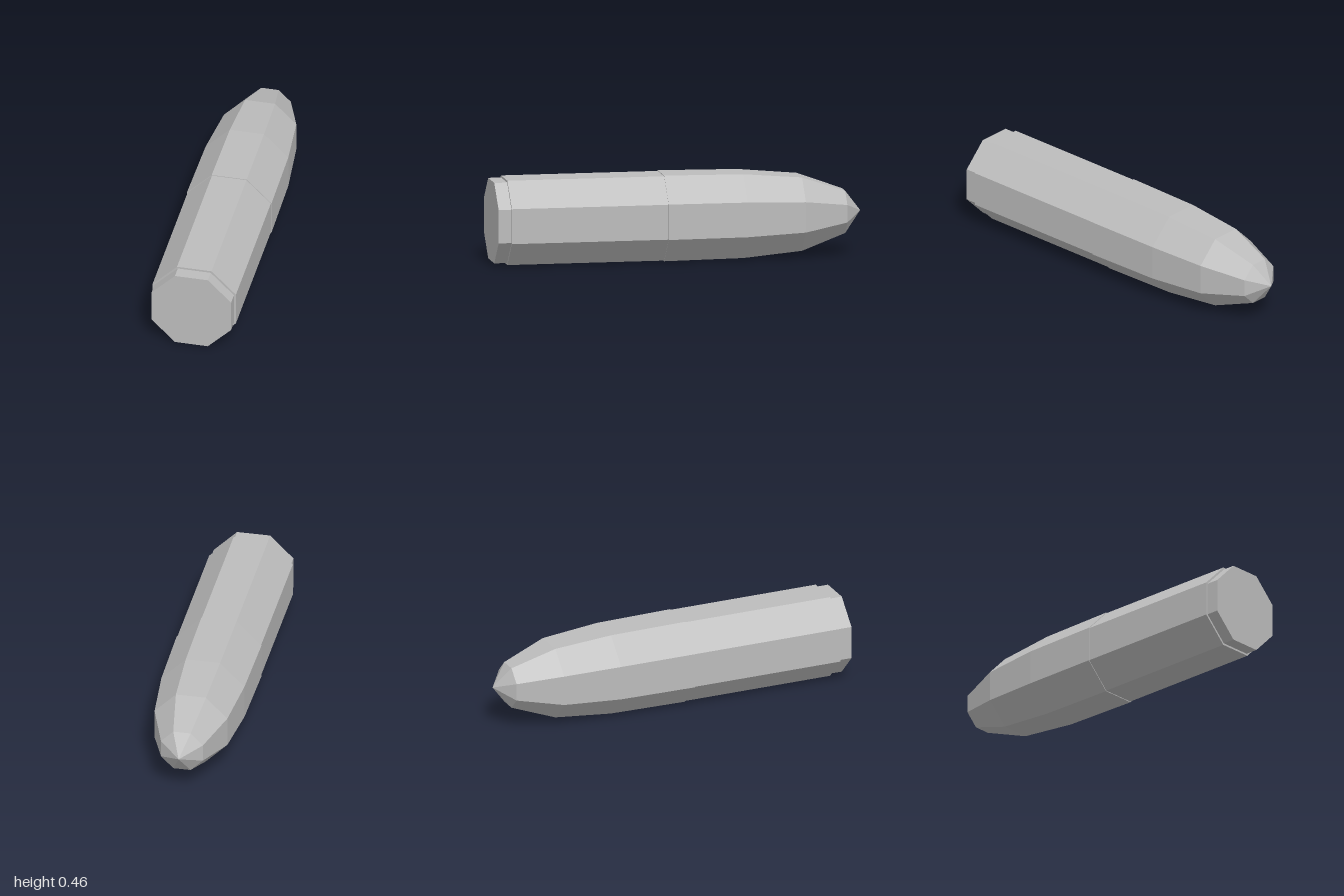
import * as THREE from 'three';

const SIDES = 8;
const CENTRE_Y = 0.231;

// Octagonal solid along z from [apothem, z] pairs, running from +z to -z
function octagonal(name, profile, material) {
  const points = profile.map(([apothem, z]) =>
    new THREE.Vector2(apothem / Math.cos(Math.PI / SIDES), -z));
  const geometry = new THREE.LatheGeometry(points, SIDES, Math.PI / SIDES)
    .rotateX(-Math.PI / 2)
    .toNonIndexed();
  geometry.computeVertexNormals();
  const mesh = new THREE.Mesh(geometry, material);
  mesh.name = name;
  mesh.position.y = CENTRE_Y;
  return mesh;
}

export function createModel() {
  const metal = new THREE.MeshStandardMaterial({ color: 0xbcbcbc, flatShading: true });
  metal.name = 'grey metal';

  const model = new THREE.Group();
  model.name = 'cartridge';

  model.add(
    // Recessed base with a flat end
    octagonal('base', [[0, 1], [0.217, 1], [0.217, 0.93]], metal),
    // Straight casing with its step down to the base
    octagonal('casing', [[0.217, 0.93], [0.2275, 0.93], [0.2275, 0.08]], metal),
    // Slightly wider nose, curving in to a point
    octagonal('nose', [
      [0.2275, 0.08], [0.231, 0.08], [0.226, -0.35],
      [0.198, -0.67], [0.114, -0.91], [0, -1],
    ], metal),
  );
  return model;
}
